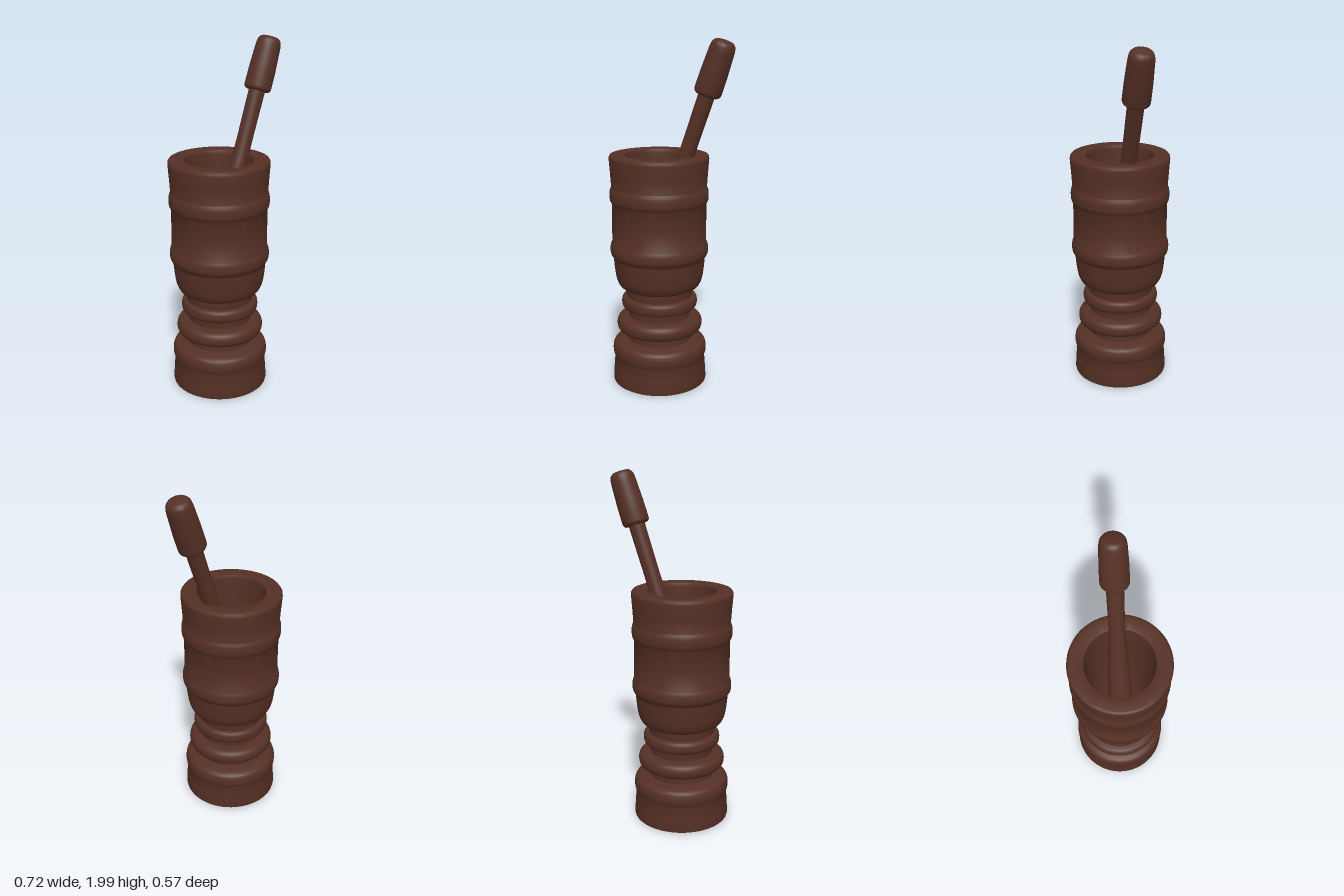
import * as THREE from 'three';
import { toCreasedNormals } from 'three/addons/utils/BufferGeometryUtils.js';

const wood = new THREE.MeshStandardMaterial({ color: 0x553025 });
wood.name = 'darkWood';

// Turned part from [radius, height] pairs; soft curves stay smooth, tight corners stay crisp
function turned(name, points, segments = 72) {
  const profile = points.map(([r, y]) => new THREE.Vector2(r, y));
  const geometry = toCreasedNormals(new THREE.LatheGeometry(profile, segments), 0.8);
  const mesh = new THREE.Mesh(geometry, wood);
  mesh.name = name;
  return mesh;
}

// Rounded bulge between two heights, swelling from radius r0 to r1
function bulge(r0, r1, y0, y1, power = 0.5, steps = 12) {
  return Array.from({ length: steps + 1 }, (_, i) => {
    const t = i / steps;
    const a = Math.PI * t;
    return [r0 + (r1 - r0) * Math.pow(Math.max(0, Math.sin(a)), power), y0 + (y1 - y0) * (1 - Math.cos(a)) / 2];
  });
}

// Smooth curve through a few profile points
function smooth(points, steps = 16) {
  return new THREE.SplineCurve(points.map(([r, y]) => new THREE.Vector2(r, y)))
    .getPoints(steps).map((p) => [p.x, p.y]);
}

export function createModel() {
  const model = new THREE.Group();
  model.name = 'mortarAndPestle';

  const mortar = new THREE.Group();
  mortar.name = 'mortar';
  mortar.position.x = -0.075;
  model.add(mortar);

  // Hollow wall: outside from foot to rim, then back down through the bowl and the foot cavity
  mortar.add(turned('mortarBody', [
    [0.2, 0], [0.265, 0], [0.273, 0.005], [0.275, 0.015], [0.271, 0.08], [0.265, 0.157],
    ...smooth([[0.268, 0.165], [0.274, 0.185], [0.274, 0.215], [0.266, 0.24], [0.25, 0.252], [0.225, 0.26]]),
    [0.187, 0.265], [0.186, 0.31], [0.178, 0.4], [0.178, 0.45], [0.19, 0.53], [0.19, 0.573],
    ...smooth([[0.2, 0.575], [0.228, 0.59], [0.248, 0.63], [0.258, 0.69], [0.264, 0.755]]),
    ...smooth([[0.266, 0.762], [0.28, 0.785], [0.281, 0.825], [0.271, 0.855]]),
    [0.27, 0.95], [0.27, 1.075],
    ...smooth([[0.271, 1.078], [0.281, 1.1], [0.281, 1.145], [0.272, 1.172]]),
    [0.277, 1.25], [0.283, 1.33], [0.282, 1.344], [0.276, 1.353], [0.266, 1.355],
    [0.2, 1.355], [0.193, 1.352], [0.19, 1.344],
    ...smooth([[0.189, 1.33], [0.183, 1.1], [0.172, 0.85], [0.155, 0.7], [0.13, 0.62], [0.105, 0.57]], 20),
    [0.105, 0.42],
    ...smooth([[0.108, 0.4], [0.145, 0.32], [0.175, 0.2], [0.192, 0.08], [0.2, 0]], 16),
  ]));

  // Two turned rings around the waist
  mortar.add(turned('lowerNeckRing', bulge(0.178, 0.249, 0.312, 0.402, 0.4)));
  mortar.add(turned('upperNeckRing', bulge(0.178, 0.22, 0.453, 0.527, 0.4)));

  // Pestle leaning against the rim; its own origin is at the bottom tip
  const pestle = new THREE.Group();
  pestle.name = 'pestle';
  const tilt = THREE.MathUtils.degToRad(19.5);
  pestle.position.set(-0.165, 0.63, 0);
  pestle.rotation.z = -tilt;
  model.add(pestle);

  pestle.add(turned('pestleShaft', [
    [0, 0],
    ...smooth([[0.04, 0.003], [0.062, 0.018], [0.074, 0.05], [0.075, 0.1]], 10),
    [0.07, 0.27], [0.058, 0.5], [0.046, 0.72], [0.044, 0.85], [0.046, 1.14],
  ], 40));

  pestle.add(turned('pestleHandle', [
    [0, 1.128], [0.058, 1.128],
    ...smooth([[0.064, 1.13], [0.074, 1.14], [0.076, 1.155]], 6),
    [0.075, 1.25], [0.07, 1.37],
    ...smooth([[0.069, 1.385], [0.064, 1.41], [0.05, 1.427], [0.03, 1.432]], 10),
    [0, 1.433],
  ], 40));

  return model;
}
